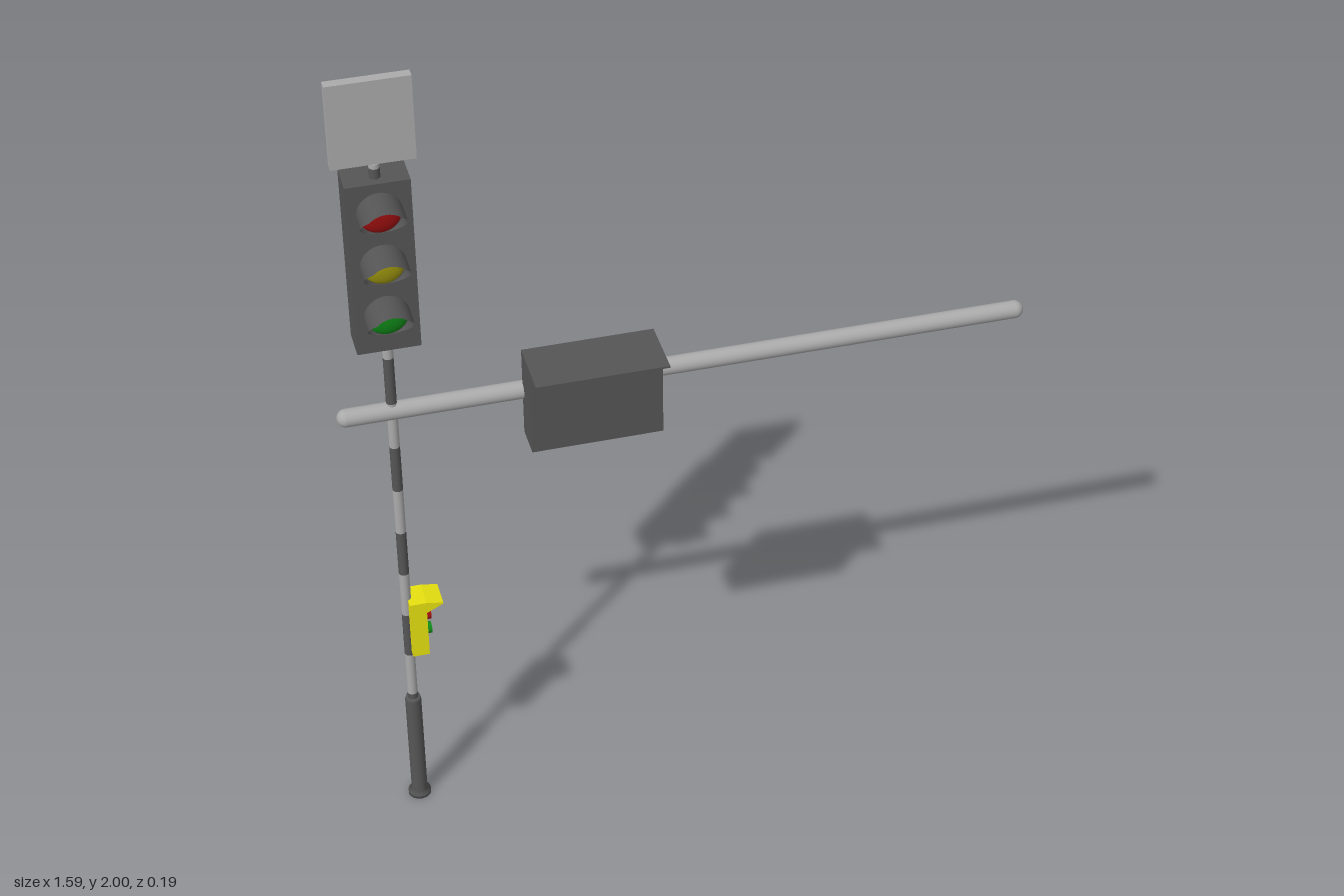
import * as THREE from 'three';

const PX = -0.675, PZ = -0.05; // pole axis

const mat = (color, side = THREE.FrontSide) => new THREE.MeshStandardMaterial({ color, side });
const dark = mat(0x555555);
const light = mat(0xaaaaaa);
const yellow = mat(0xe6e010);
const red = mat(0xa01010), amber = mat(0xa09810), green = mat(0x108a18);
const visorMat = mat(0x555555, THREE.DoubleSide);

function add(parent, name, geometry, material, x = 0, y = 0, z = 0) {
  const mesh = new THREE.Mesh(geometry, material);
  mesh.name = name;
  mesh.position.set(x, y, z);
  parent.add(mesh);
  return mesh;
}

// Box given by its lower and upper corners
function boxFrom(parent, name, material, [x0, y0, z0], [x1, y1, z1]) {
  return add(parent, name, new THREE.BoxGeometry(x1 - x0, y1 - y0, z1 - z0), material,
    (x0 + x1) / 2, (y0 + y1) / 2, (z0 + z1) / 2);
}

// Profile in x, y extruded symmetrically along z
function prism(points, width) {
  const shape = new THREE.Shape(points.map(([x, y]) => new THREE.Vector2(x, y)));
  return new THREE.ExtrudeGeometry(shape, { depth: width, bevelEnabled: false })
    .translate(0, 0, -width / 2);
}

// Tubular hood whose front edge slopes back towards the bottom
function hoodGeometry(radius) {
  const geo = new THREE.CylinderGeometry(radius, radius, 1, 40, 1, true);
  geo.rotateX(Math.PI / 2).translate(0, 0, 0.5);
  const p = geo.attributes.position;
  for (let i = 0; i < p.count; i++) {
    const reach = Math.min(0.085, 0.05 + p.getY(i));
    p.setZ(i, p.getZ(i) > 0.5 ? Math.max(0.001, reach) : 0);
  }
  return geo;
}

function createPole() {
  const pole = new THREE.Group();
  pole.name = 'pole';
  // Alternating bands up to the sign
  const band = 0.122, start = 0.325, top = 1.8;
  for (let k = -1; start + k * band < top; k++) {
    const y0 = start + k * band, h = Math.min(band, top - y0);
    add(pole, 'poleBand', new THREE.CylinderGeometry(0.012, 0.012, h, 24),
      k % 2 === 0 ? light : dark, PX, y0 + h / 2, PZ);
  }
  // Thicker sleeve with a flared foot
  const profile = [[0, 0], [0.027, 0], [0.027, 0.009], [0.019, 0.018], [0.019, 0.302], [0.017, 0.31], [0, 0.31]];
  const lathe = new THREE.LatheGeometry(profile.map(([x, y]) => new THREE.Vector2(x, y)), 28);
  add(pole, 'poleBase', lathe, dark, PX, 0, PZ);
  return pole;
}

function createSignalHead() {
  const head = new THREE.Group();
  head.name = 'signalHead';
  boxFrom(head, 'signalHousing', dark, [-0.745, 1.34, -0.098], [-0.605, 1.765, -0.02]);
  const lamps = [['redLamp', red, 1.693], ['amberLamp', amber, 1.563], ['greenLamp', green, 1.432]];
  for (const [name, material, y] of lamps) {
    const lens = new THREE.SphereGeometry(0.047, 32, 16).scale(1, 1, 0.35);
    add(head, name, lens, material, PX, y, -0.02);
    add(head, 'lampHood', hoodGeometry(0.05), visorMat, PX, y, -0.02);
  }
  return head;
}

function createCrossingSignal() {
  const signal = new THREE.Group();
  signal.name = 'crossingSignal';
  boxFrom(signal, 'crossingHousing', yellow, [-0.672, 0.46, -0.086], [-0.633, 0.615, -0.018]);
  // Small peak over the lamps
  add(signal, 'crossingPeak', prism([[-0.633, 0.585], [-0.594, 0.605], [-0.594, 0.608], [-0.633, 0.615]], 0.068),
    yellow, 0, 0, -0.052);
  for (const [name, material, y] of [['crossingRedLamp', red, 0.555], ['crossingGreenLamp', green, 0.512]]) {
    const lamp = new THREE.CylinderGeometry(0.014, 0.014, 0.02, 12).rotateZ(Math.PI / 2);
    add(signal, name, lamp, material, -0.63, y, -0.052);
  }
  return signal;
}

function createArmBox() {
  const armBox = new THREE.Group();
  armBox.name = 'armBox';
  boxFrom(armBox, 'armHousing', dark, [-0.382, 1.04, -0.047], [-0.082, 1.265, 0.033]);
  // Wedge-shaped peak along the top front edge
  const peak = prism([[0.033, 1.24], [0.097, 1.26], [0.097, 1.265], [0.033, 1.265]], 0.3);
  add(armBox, 'armPeak', peak.rotateY(-Math.PI / 2), dark, -0.232);
  return armBox;
}

export function createModel() {
  const model = new THREE.Group();
  model.name = 'trafficLight';
  model.add(createPole(), createSignalHead(), createCrossingSignal(), createArmBox());
  // Square panel on top
  boxFrom(model, 'topPanel', light, [-0.768, 1.8, -0.064], [-0.586, 2, -0.041]);
  // Horizontal bar with rounded ends
  const bar = new THREE.CapsuleGeometry(0.021, 1.548, 8, 24).rotateZ(Math.PI / 2);
  add(model, 'crossBar', bar, light, -0.003, 1.155, PZ);
  return model;
}
